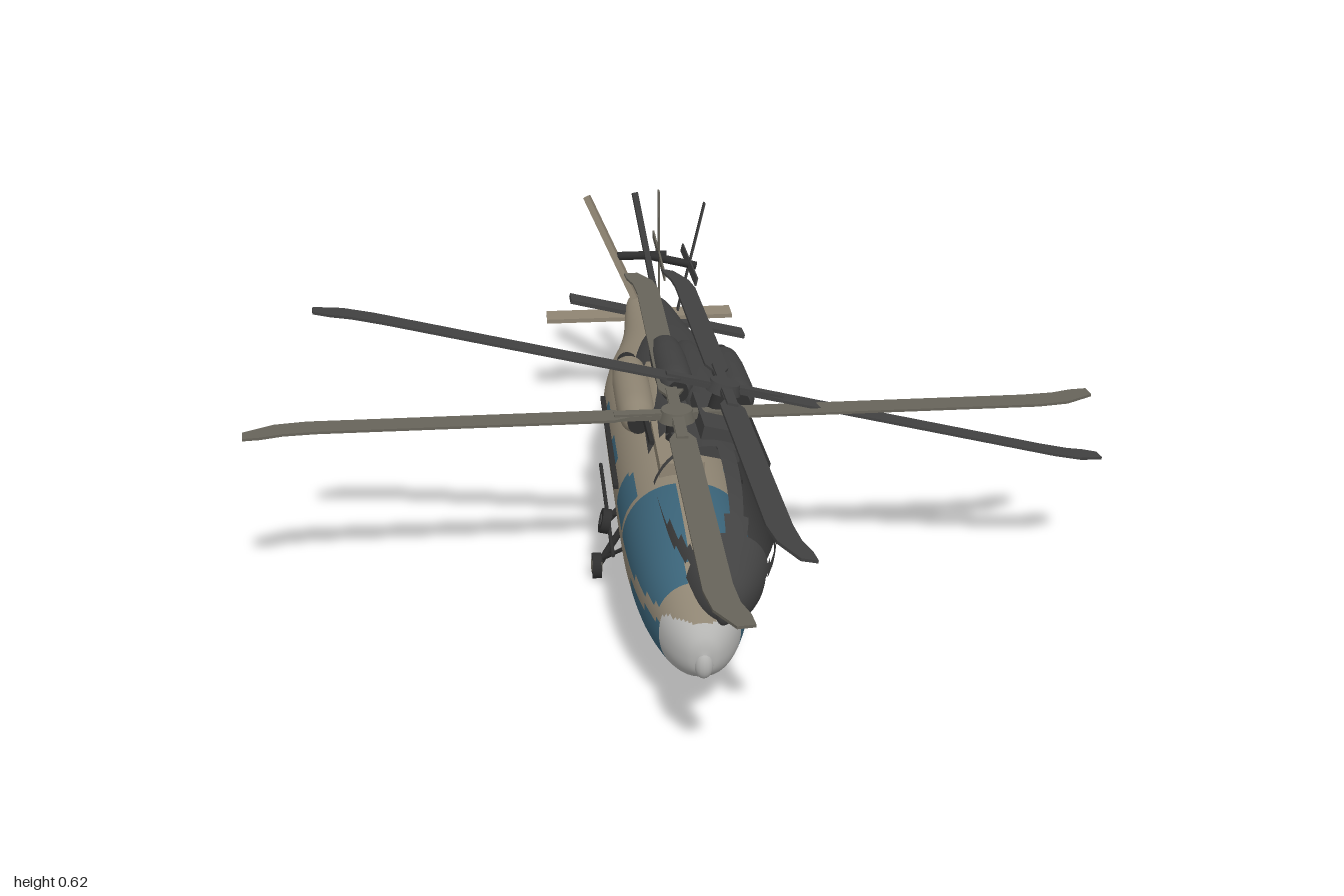
import * as THREE from 'three';

const mat = (name, color, side = THREE.FrontSide) => {
  const m = new THREE.MeshStandardMaterial({ color, side });
  m.name = name;
  return m;
};

function add(parent, name, geometry, material, x = 0, y = 0, z = 0) {
  const m = new THREE.Mesh(geometry, material);
  m.name = name;
  m.position.set(x, y, z);
  parent.add(m);
  return m;
}

// Straight round bar between two points
function bar(parent, name, a, b, r, material) {
  const p = new THREE.Vector3(...a), q = new THREE.Vector3(...b);
  const m = add(parent, name, new THREE.CylinderGeometry(r, r, p.distanceTo(q), 10), material);
  m.position.copy(p).add(q).multiplyScalar(0.5);
  m.quaternion.setFromUnitVectors(new THREE.Vector3(0, 1, 0), q.sub(p).normalize());
}

// Flat plate cut from an outline, centred on its own thickness
function plate(points, depth) {
  const shape = new THREE.Shape(points.map(p => new THREE.Vector2(...p)));
  return new THREE.ExtrudeGeometry(shape, { depth, bevelEnabled: false }).translate(0, 0, -depth / 2);
}

// Hull sections: z, half width, bottom, top
const SECTIONS = [
  [0.69, 0.004, 0.14, 0.15], [0.68, 0.03, 0.11, 0.18], [0.65, 0.056, 0.088, 0.212],
  [0.6, 0.08, 0.075, 0.255], [0.52, 0.102, 0.07, 0.29], [0.4, 0.115, 0.07, 0.31],
  [0.25, 0.118, 0.07, 0.312], [0.08, 0.118, 0.07, 0.312], [-0.1, 0.118, 0.07, 0.31],
  [-0.3, 0.115, 0.09, 0.305], [-0.42, 0.095, 0.125, 0.3], [-0.5, 0.07, 0.165, 0.295],
  [-0.6, 0.05, 0.195, 0.285], [-0.8, 0.03, 0.22, 0.265], [-0.87, 0.006, 0.24, 0.255],
];

const between = (v, a, b) => v > a && v < b;

// Which panel a spot on the hull belongs to: 0 skin, 1 glass, 2 nose
function panel(x, y, z) {
  const ax = Math.abs(x);
  if (z > 0.62 && y < 0.2) return 2;
  if (between(z, 0.33, 0.61) && y > 0.205 && ax > 0.018) return 1;
  if (between(z, 0.2, 0.32) && between(y, 0.2, 0.275)) return 1;
  if (between(z, 0.46, 0.62) && between(y, 0.1, 0.18) && ax > 0.03) return 1;
  if ((between(z, -0.045, 0.08) || between(z, -0.22, -0.125)) && between(y, 0.185, 0.243)) return 1;
  return 0;
}

// Lofted hull; panels without a material are left open
function hullGeometry(materials) {
  const widths = new THREE.CatmullRomCurve3(
    SECTIONS.map(s => new THREE.Vector3(s[0], s[1], 0)), false, 'catmullrom', 0.5);
  const heights = new THREE.CatmullRomCurve3(
    SECTIONS.map(s => new THREE.Vector3(s[0], s[2], s[3])), false, 'catmullrom', 0.5);
  const rings = 126, sides = 56, pos = [], cells = [[], [], []];
  const round = v => Math.sign(v) * Math.abs(v) ** 0.9;
  for (let i = 0; i <= rings; i++) {
    const w = widths.getPoint(i / rings), h = heights.getPoint(i / rings);
    for (let j = 0; j < sides; j++) {
      const a = j / sides * Math.PI * 2;
      pos.push(w.y * round(Math.sin(a)), (h.y + h.z) / 2 + (h.z - h.y) / 2 * round(Math.cos(a)), w.x);
    }
  }
  for (let i = 0; i < rings; i++) for (let j = 0; j < sides; j++) {
    const k = (j + 1) % sides;
    const a = i * sides + j, b = i * sides + k, c = a + sides, d = b + sides;
    const mid = n => (pos[a * 3 + n] + pos[b * 3 + n] + pos[c * 3 + n] + pos[d * 3 + n]) / 4;
    cells[panel(mid(0), mid(1), mid(2))].push(a, b, c, b, d, c);
  }
  const g = new THREE.BufferGeometry();
  g.setAttribute('position', new THREE.Float32BufferAttribute(pos, 3));
  g.setIndex(cells.flat());
  g.computeVertexNormals();
  const index = [];
  cells.forEach((c, n) => {
    if (!materials[n]) return;
    g.addGroup(index.length, c.length, n);
    index.push(...c);
  });
  g.setIndex(index);
  return g;
}

const BLADE = [[0.02, -0.012], [0.09, -0.012], [0.12, -0.025], [0.7, -0.025], [0.76, -0.016], [0.815, 0.015],
  [0.812, 0.045], [0.78, 0.042], [0.74, 0.03], [0.68, 0.025], [0.12, 0.025], [0.09, 0.012], [0.02, 0.012]];
const FIN = [[-0.02, -0.06], [0.045, -0.07], [0.065, 0], [0.09, 0.28], [0.03, 0.297], [-0.01, 0.03]];
const ENGINE = [[0, -0.15], [0.022, -0.15], [0.034, -0.12], [0.038, -0.05], [0.038, 0.08],
  [0.034, 0.125], [0.022, 0.148], [0, 0.15]];

function helicopter(name, c) {
  const g = new THREE.Group();
  g.name = name;
  const skins = [c.skin, c.glass, c.nose];
  add(g, 'hull', hullGeometry(skins), skins);

  // Roof fairing and engines
  const roof = new THREE.SphereGeometry(1, 28, 16).scale(0.05, 0.04, 0.33);
  add(g, 'roofFairing', roof, c.skin, 0, 0.3, -0.02);
  add(g, 'gearboxHousing', new THREE.BoxGeometry(0.085, 0.06, 0.2), c.skin, 0, 0.305, 0.2);
  const engine = new THREE.LatheGeometry(ENGINE.map(p => new THREE.Vector2(...p)), 24).rotateX(Math.PI / 2);
  for (const s of [-1, 1]) {
    add(g, 'engine', engine, c.skin, s * 0.066, 0.32, -0.08);
    const pipe = new THREE.CylinderGeometry(0.021, 0.021, 0.03, 16).rotateX(Math.PI / 2);
    add(g, 'exhaust', pipe, c.metal, s * 0.066, 0.32, -0.24);
    add(g, 'engineInlet', pipe, c.metal, s * 0.066, 0.32, 0.065);

    // Door rails and lower side rods
    add(g, 'doorRail', new THREE.BoxGeometry(0.01, 0.008, 0.44), c.metal, s * 0.12, 0.252, 0);
    bar(g, 'sideRod', [s * 0.128, 0.105, 0.22], [s * 0.128, 0.105, -0.2], 0.004, c.metal);

    // Main landing gear
    bar(g, 'mainGearLeg', [s * 0.09, 0.13, 0.11], [s * 0.15, 0.03, 0.11], 0.007, c.metal);
    bar(g, 'mainGearBrace', [s * 0.09, 0.1, 0.17], [s * 0.145, 0.04, 0.11], 0.004, c.metal);
    const wheel = new THREE.CylinderGeometry(0.026, 0.026, 0.018, 20).rotateZ(Math.PI / 2);
    add(g, 'mainWheel', wheel, c.metal, s * 0.155, 0.026, 0.11);
    const cap = new THREE.CylinderGeometry(0.013, 0.013, 0.022, 16).rotateZ(Math.PI / 2);
    add(g, 'wheelHub', cap, c.blade, s * 0.155, 0.026, 0.11);
  }

  // Tail landing gear
  bar(g, 'tailGearLeg', [0, 0.22, -0.7], [0, 0.02, -0.72], 0.007, c.metal);
  add(g, 'tailWheel', new THREE.CylinderGeometry(0.017, 0.017, 0.016, 16).rotateZ(Math.PI / 2),
    c.metal, 0, 0.017, -0.72);

  // Nose sensor
  add(g, 'noseSensor', new THREE.SphereGeometry(0.017, 16, 12).scale(1, 1.6, 1), c.nose, 0, 0.13, 0.68);

  // Canted fin and stabiliser
  const fin = add(g, 'tailFin', plate(FIN, 0.014).rotateY(Math.PI / 2), c.skin, 0, 0.24, -0.8);
  fin.rotation.z = 0.42;
  add(g, 'stabiliser', new THREE.BoxGeometry(0.445, 0.01, 0.06), c.skin, 0, 0.225, -0.79);

  // Main rotor
  const rotor = new THREE.Group();
  rotor.name = 'mainRotor';
  rotor.position.set(0, 0.385, 0.185);
  g.add(rotor);
  add(rotor, 'mast', new THREE.CylinderGeometry(0.018, 0.024, 0.08, 16), c.metal, 0, -0.035, 0);
  add(rotor, 'hub', new THREE.CylinderGeometry(0.03, 0.036, 0.022, 20), c.blade);
  const blade = plate(BLADE, 0.005).rotateX(-Math.PI / 2);
  for (let i = 0; i < 4; i++) {
    add(rotor, 'rotorBlade', blade, c.blade).rotation.y = i * Math.PI / 2;
    const arm = new THREE.BoxGeometry(0.1, 0.014, 0.022).translate(0.07, 0, 0);
    add(rotor, 'bladeArm', arm, c.blade).rotation.y = i * Math.PI / 2;
  }

  // Tail rotor
  const tail = new THREE.Group();
  tail.name = 'tailRotor';
  tail.position.set(0.052, 0.363, -0.825);
  g.add(tail);
  bar(tail, 'tailRotorShaft', [-0.1, 0, 0], [0.018, 0, 0], 0.01, c.metal);
  for (let i = 0; i < 4; i++) {
    const b = new THREE.BoxGeometry(0.004, 0.15, 0.02).translate(0, 0.085, 0);
    add(tail, 'tailRotorBlade', b, c.blade).rotation.x = i * Math.PI / 2;
  }
  return g;
}

export function createModel() {
  const tan = mat('tan', 0x8f8573), olive = mat('olive', 0x67645a), teal = mat('teal glass', 0x3a6378);
  const pale = mat('pale grey', 0xb4b4b2), black = mat('black', 0x2e2e2e);
  const dark = mat('dark grey', 0x414141), darkShell = mat('dark shell', 0x414141, THREE.DoubleSide);
  const model = new THREE.Group();
  model.name = 'helicopterPair';

  const first = helicopter('tanHelicopter', { skin: tan, glass: teal, nose: pale, blade: olive, metal: black });
  first.position.x = -0.023;
  model.add(first);

  // Second aircraft with open windows, banked about its rotor hub
  const second = helicopter('darkHelicopter', { skin: darkShell, glass: null, nose: darkShell, blade: dark, metal: black });
  second.position.set(0, -0.385, -0.185);
  const banked = new THREE.Group();
  banked.name = 'bankedHelicopter';
  banked.add(second);
  banked.position.set(0.07, 0.43, 0.165);
  banked.rotation.set(-0.057, 0, -0.245, 'ZXY');
  banked.scale.setScalar(0.965);
  model.add(banked);
  return model;
}
